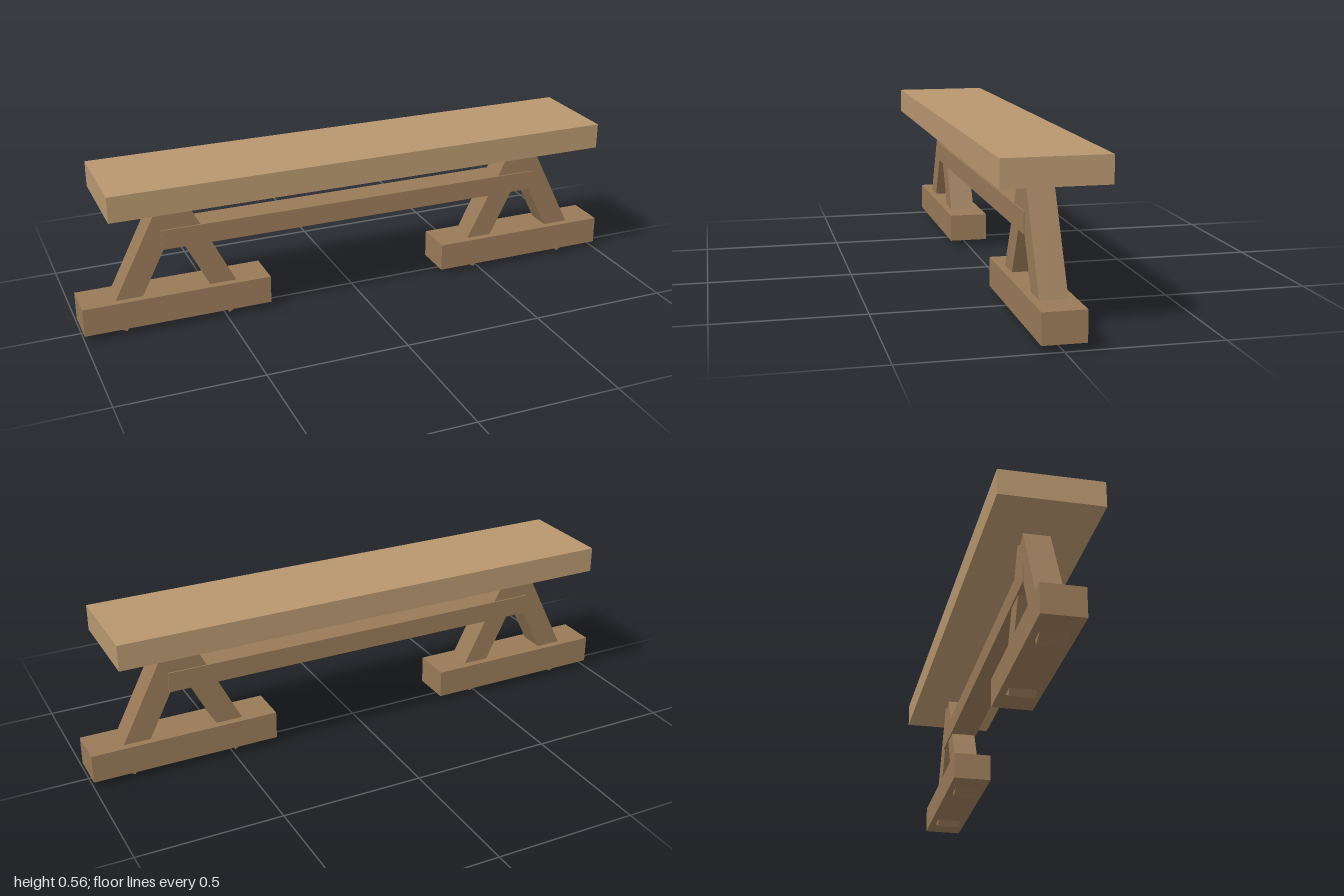
import * as THREE from 'three';

const seatWood = new THREE.MeshStandardMaterial({ color: 0xb8976f });
const frameWood = new THREE.MeshStandardMaterial({ color: 0x997a58 });

function beam(name, size, position, material) {
  const mesh = new THREE.Mesh(new THREE.BoxGeometry(...size), material);
  mesh.name = name;
  mesh.position.set(...position);
  return mesh;
}

// A-frame trestle: a foot with two splayed legs passing through it
function trestle(name, x) {
  const group = new THREE.Group();
  group.name = name;
  group.position.x = x;
  group.add(beam('foot', [0.664, 0.1, 0.14], [0, 0.073, 0], frameWood));
  for (const side of [-1, 1]) {
    const leg = beam(side > 0 ? 'leftLeg' : 'rightLeg', [0.084, 0.482, 0.09], [side * 0.11, 0.2335, 0], frameWood);
    leg.rotation.z = side * 0.47;
    group.add(leg);
  }
  return group;
}

export function createModel() {
  const bench = new THREE.Group();
  bench.name = 'bench';
  bench.add(
    beam('seat', [1.814, 0.09, 0.344], [0, 0.511, 0], seatWood),
    beam('stretcher', [1.422, 0.071, 0.1], [0, 0.3205, 0], frameWood),
    trestle('leftTrestle', 0.668),
    trestle('rightTrestle', -0.668)
  );
  return bench;
}
